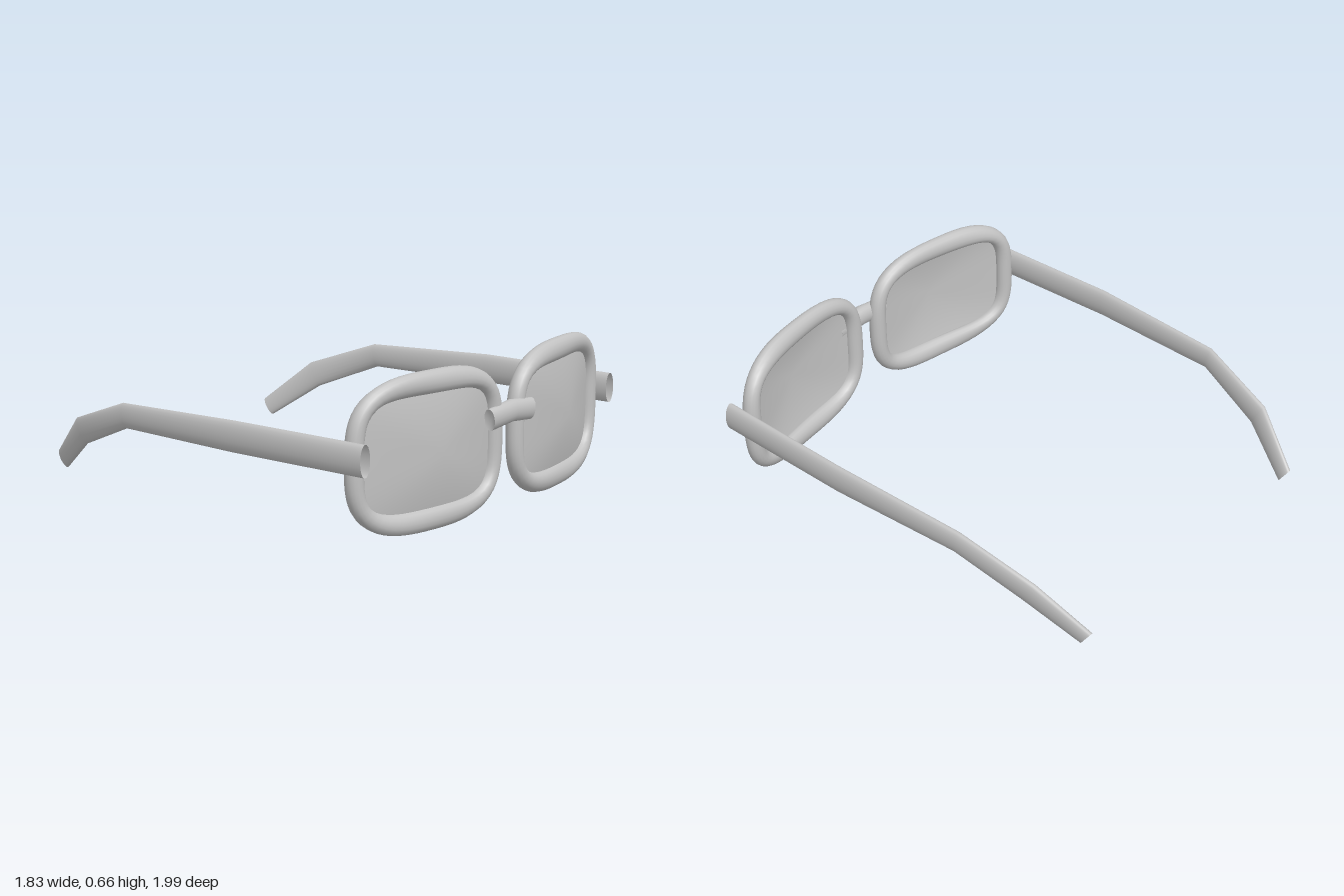
import * as THREE from 'three';

const grey = new THREE.MeshStandardMaterial({ color: 0xc2c2c2, side: THREE.DoubleSide });
grey.name = 'grey';

// Smooth skin over a list of equal-sized rings of points
function loft(rings, closed = false) {
  const n = rings[0].length, m = rings.length, index = [];
  for (let i = 0; i < (closed ? m : m - 1); i++) {
    for (let k = 0; k < n; k++) {
      const a = i * n + k, c = i * n + (k + 1) % n;
      const b = ((i + 1) % m) * n + k, d = ((i + 1) % m) * n + (k + 1) % n;
      index.push(a, b, c, b, d, c);
    }
  }
  return surface(rings.flat(), index);
}

// Shallow cone from a ring to a centre point
function fan(edge, centre) {
  const n = edge.length, index = [];
  for (let k = 0; k < n; k++) index.push(n, k, (k + 1) % n);
  return surface([...edge, centre], index);
}

function surface(points, index) {
  const g = new THREE.BufferGeometry().setFromPoints(points);
  g.setIndex(index);
  g.computeVertexNormals();
  return g;
}

// Ring of points, fn receives cos and sin
const ring = (count, fn) => Array.from({ length: count }, (_, k) => {
  const t = (k / count) * Math.PI * 2;
  return new THREE.Vector3(...fn(Math.cos(t), Math.sin(t)));
});

// Rounded outline, sampled along a direction
const CX = 0.457, CY = 0.328, STEPS = 72;
function outline(a, b, n, c, s) {
  const dx = c * 0.38, dy = s * 0.28;
  const r = Math.pow(Math.abs(dx / a) ** n + Math.abs(dy / b) ** n, -1 / n);
  return [dx * r, dy * r];
}
// Wrap of the frame towards the temples
const wrapZ = x => 0.923 - 0.128 * Math.pow(Math.max(0, (x - 0.05) / 0.8), 1.75);

function rimPoint(c, s) {
  const [ox, oy] = outline(0.419, 0.328, 2.95, c, s);
  const [ix, iy] = outline(0.337, 0.23, 4.5, c, s);
  return { mx: (ox + ix) / 2, my: (oy + iy) / 2, hx: (ox - ix) / 2, hy: (oy - iy) / 2 };
}

function rimGeometry(side) {
  const rings = [];
  for (let i = 0; i < STEPS; i++) {
    const t = (i / STEPS) * Math.PI * 2;
    const { mx, my, hx, hy } = rimPoint(Math.cos(t), Math.sin(t));
    const z = wrapZ(CX + side * mx);
    rings.push(ring(16, (c, s) => [side * CX + mx + hx * c, CY + my + hy * c, z + 0.038 * s]));
  }
  return loft(rings, true);
}

// Lens: shallow cone bulging forward from the rim's centre line
function lensGeometry(side) {
  const edge = ring(STEPS, (c, s) => {
    const { mx, my } = rimPoint(c, s);
    return [side * CX + mx, CY + my, wrapZ(CX + side * mx)];
  });
  return fan(edge, new THREE.Vector3(side * CX, CY, 0.952));
}

// Temple arm stations: x, half width, top z, top y, bottom z, bottom y
const ARM = [
  [0.878, 0.031, 0.888, 0.43, 0.888, 0.297],
  [0.888, 0.025, 0.22, 0.43, 0.22, 0.297],
  [0.857, 0.023, -0.43, 0.405, -0.41, 0.297],
  [0.793, 0.023, -0.78, 0.28, -0.72, 0.172],
  [0.699, 0.02, -1.0, 0.085, -0.95, 0.01],
];
function armGeometry(side) {
  return loft(ARM.map(([x, w, tz, ty, bz, by]) => ring(20, (c, s) => [
    side * x + w * c,
    (ty + by) / 2 + s * (ty - by) / 2,
    (tz + bz) / 2 + s * (tz - bz) / 2,
  ])));
}

// Bridge stations: x, y, z, half height, half depth
const BRIDGE = [
  [-0.148, 0.405, 0.952, 0.046, 0.026],
  [0, 0.421, 0.954, 0.047, 0.039],
  [0.148, 0.405, 0.952, 0.046, 0.026],
];
const bridgeRings = BRIDGE.map(([x, y, z, h, d]) => ring(20, (c, s) => [x * (1 + 0.04 * c), y + h * c, z - d * s]));

export function createModel() {
  const model = new THREE.Group();
  model.name = 'glasses';
  const add = (name, geometry) => {
    const mesh = new THREE.Mesh(geometry, grey);
    mesh.name = name;
    model.add(mesh);
  };
  for (const [label, side] of [['left', 1], ['right', -1]]) {
    add(label + 'Rim', rimGeometry(side));
    add(label + 'Lens', lensGeometry(side));
    add(label + 'Arm', armGeometry(side));
    // Slightly hollow end of the bridge
    const [x, y, z] = BRIDGE[side + 1];
    const edge = bridgeRings[side + 1].slice();
    if (side < 0) edge.reverse();
    add(label + 'BridgeEnd', fan(edge, new THREE.Vector3(x * 0.9, y, z)));
  }
  add('bridge', loft(bridgeRings));
  return model;
}
